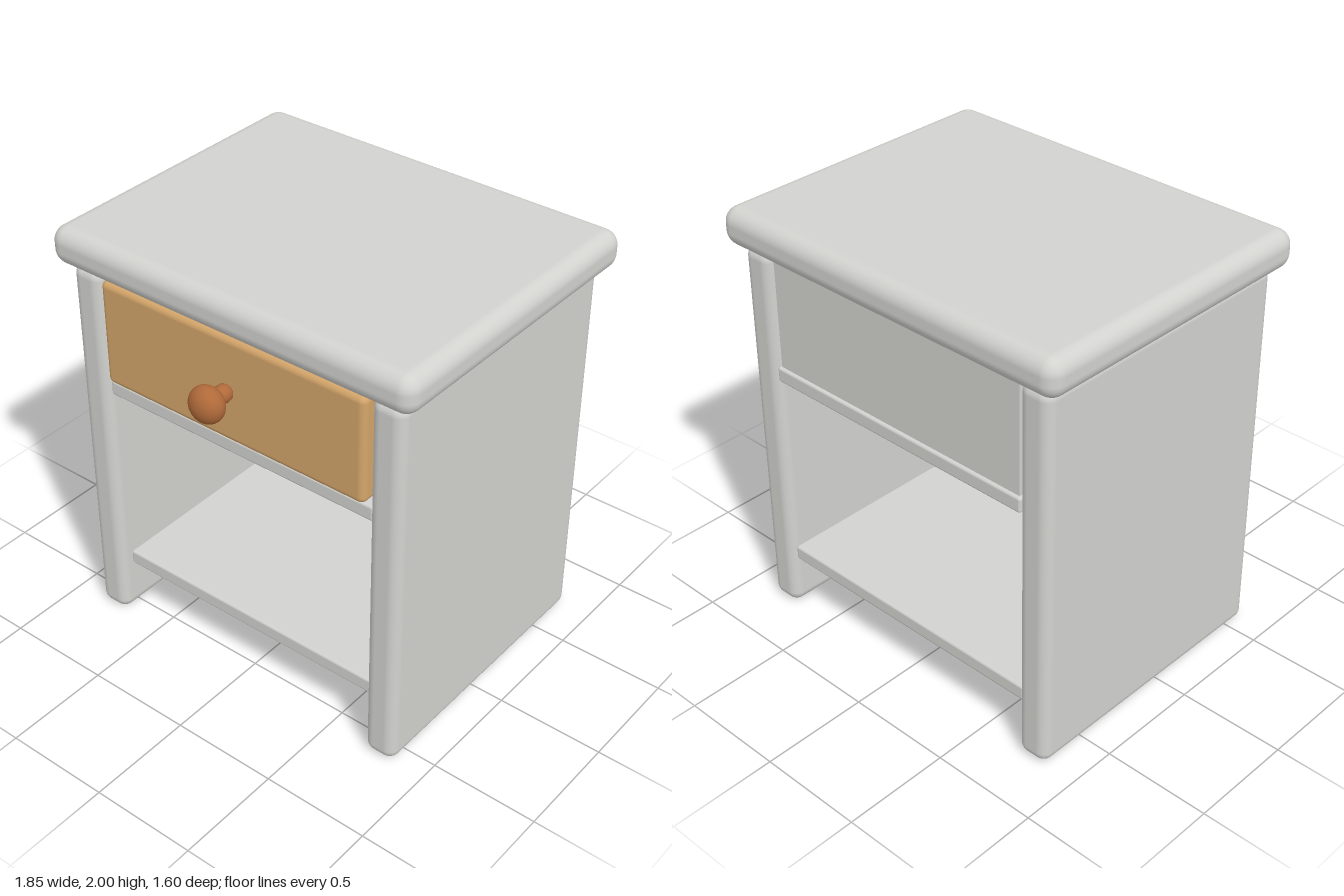
import * as THREE from 'three';
import { RoundedBoxGeometry } from 'three/addons/geometries/RoundedBoxGeometry.js';

export function createModel() {
  const group = new THREE.Group();
  group.name = 'nightstand';

  const material = (name, color) => {
    const m = new THREE.MeshStandardMaterial({ color });
    m.name = name;
    return m;
  };
  const grey = material('greyPaint', 0xd2d2cf);
  const tan = material('lightWood', 0xd4a56a);
  const brown = material('darkWood', 0xb06a3a);

  const add = (name, geometry, mat) => {
    const mesh = new THREE.Mesh(geometry, mat);
    mesh.name = name;
    group.add(mesh);
    return mesh;
  };

  // Rounded board given by its limits on each axis
  const board = (name, [x0, x1], [y0, y1], [z0, z1], radius, mat, segments = 5) => {
    const geo = new RoundedBoxGeometry(x1 - x0, y1 - y0, z1 - z0, segments, radius);
    const mesh = add(name, geo, mat);
    mesh.position.set((x0 + x1) / 2, (y0 + y1) / 2, (z0 + z1) / 2);
  };

  // Thick top and the two side panels
  board('tableTop', [-0.925, 0.925], [1.825, 2], [-0.8, 0.66], 0.07, grey, 6);
  board('leftPanel', [0.7, 0.855], [0.005, 1.83], [-0.745, 0.61], 0.05, grey);
  board('rightPanel', [-0.855, -0.7], [0.005, 1.83], [-0.745, 0.61], 0.05, grey);

  // Shelves between the panels
  board('drawerShelf', [-0.705, 0.705], [1.22, 1.292], [-0.735, 0.58], 0.012, grey, 3);
  board('lowerShelf', [-0.705, 0.705], [0.257, 0.328], [-0.715, 0.54], 0.012, grey, 3);

  // Closed back of the drawer bay
  const back = add('backPanel', new THREE.BoxGeometry(1.38, 0.54, 0.03), grey);
  back.position.set(0, 1.56, -0.705);

  // Drawer front
  board('drawerFront', [-0.685, 0.685], [1.31, 1.812], [0.5, 0.617], 0.03, tan);

  // Turned knob: short stem with a flattened ball
  const stem = [[0, 0], [0.03, 0], [0.038, 0.01], [0.041, 0.03], [0.038, 0.05], [0.03, 0.065], [0.028, 0.1]];
  const stemMesh = add('knobStem',
    new THREE.LatheGeometry(stem.map(([r, y]) => new THREE.Vector2(r, y)), 28), brown);
  stemMesh.rotation.x = Math.PI / 2;
  stemMesh.position.set(0, 1.56, 0.615);

  const ball = add('knobBall', new THREE.SphereGeometry(0.083, 32, 20), brown);
  ball.scale.z = 0.79;
  ball.position.set(0, 1.56, 0.738);

  return group;
}
